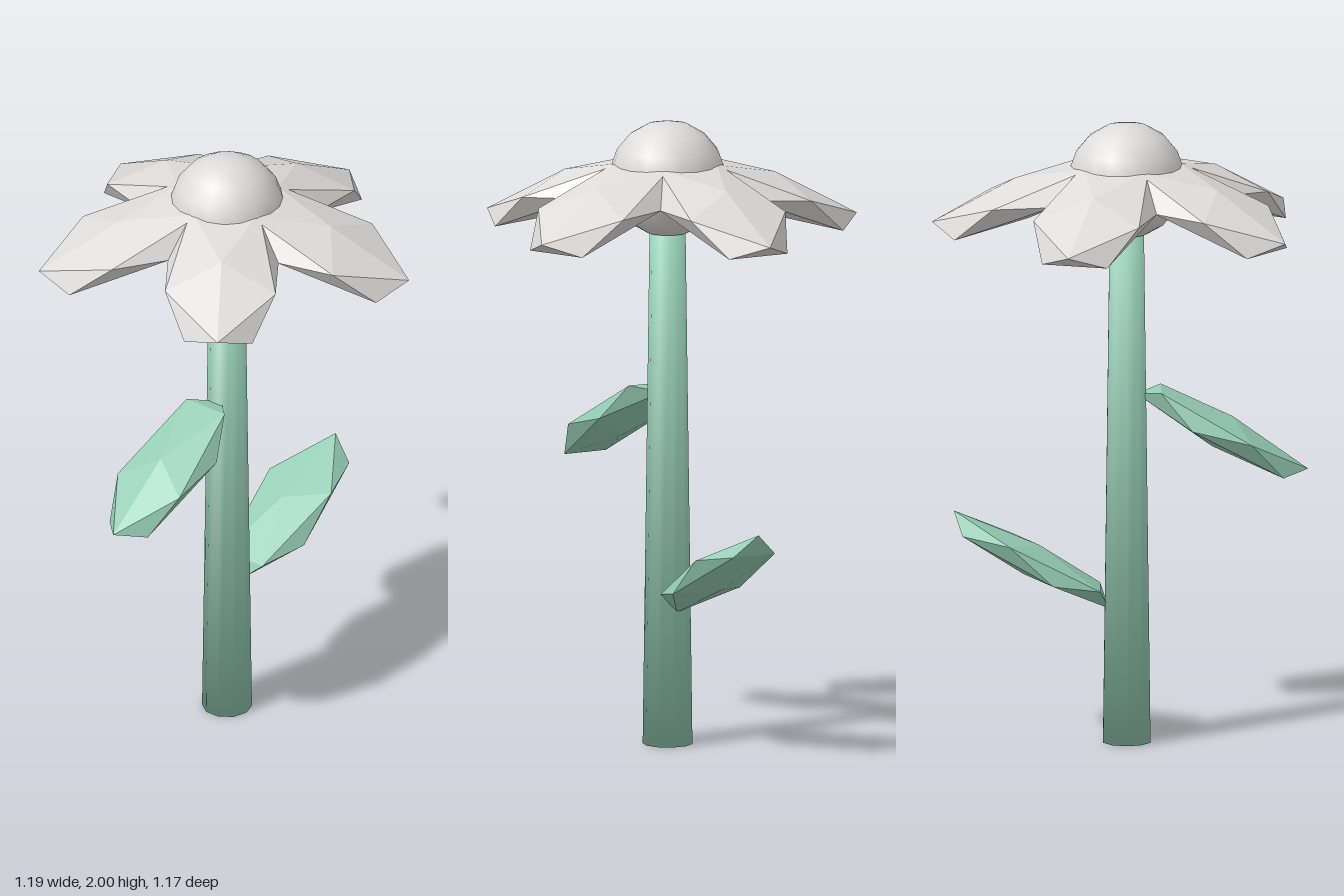
import * as THREE from 'three';

const AXIS_X = -0.024; // the flower axis sits slightly off centre

// Faceted blade: an icosahedron stretched along two slanted axes in its own
// x-y plane (a, b) and by a half width across z.
function bladeGeometry(a, b, width, x, y) {
  const m = new THREE.Matrix4().set(
    a[0], b[0], 0, x,
    a[1], b[1], 0, y,
    0, 0, width, 0,
    0, 0, 0, 1
  );
  return new THREE.IcosahedronGeometry(1, 0).applyMatrix4(m);
}

// Tapered stem with end normals tilted outwards for soft, rounded ends
function stemGeometry(height) {
  const g = new THREE.CylinderGeometry(0.057, 0.079, height, 10, 1);
  const p = g.attributes.position;
  const n = new THREE.Vector3();
  for (let i = 0; i < p.count; i++) {
    const r = Math.hypot(p.getX(i), p.getZ(i));
    n.set(p.getX(i), Math.sign(p.getY(i)) * Math.max(r, 0.01), p.getZ(i)).normalize();
    g.attributes.normal.setXYZ(i, n.x, n.y, n.z);
  }
  return g.translate(0, height / 2, 0);
}

export function createModel() {
  const model = new THREE.Group();
  model.name = 'flower';

  const green = new THREE.MeshStandardMaterial({ color: 0x96cdb4 });
  green.name = 'soft green';
  const white = new THREE.MeshStandardMaterial({ color: 0xdedcda });
  white.name = 'warm white';

  const add = (name, geometry, material, parent = model) => {
    const mesh = new THREE.Mesh(geometry, material);
    mesh.name = name;
    parent.add(mesh);
    return mesh;
  };

  // Stem
  add('stem', stemGeometry(1.66), green).position.x = AXIS_X;

  // Leaves: the upper one droops, the lower one rises
  add('upperLeaf', bladeGeometry([-0.228, -0.162], [0.179, 0.043], 0.147, -0.326, 1.002), green);
  add('lowerLeaf', bladeGeometry([0.257, 0.106], [0.13, 0.121], 0.147, 0.278, 0.588), green);

  // Flower head: round centre with five drooping petals
  const head = new THREE.Group();
  head.name = 'flowerHead';
  head.position.x = AXIS_X;
  model.add(head);

  add('flowerCentre', new THREE.SphereGeometry(0.185, 20, 9), white, head).position.y = 1.815;

  const petal = bladeGeometry([0.2526, -0.1355], [0.18, -0.0067], 0.206, 0.331, 1.757);
  for (let i = 0; i < 5; i++) {
    add('petal' + (i + 1), petal, white, head).rotation.y = (i * Math.PI * 2) / 5;
  }

  return model;
}
